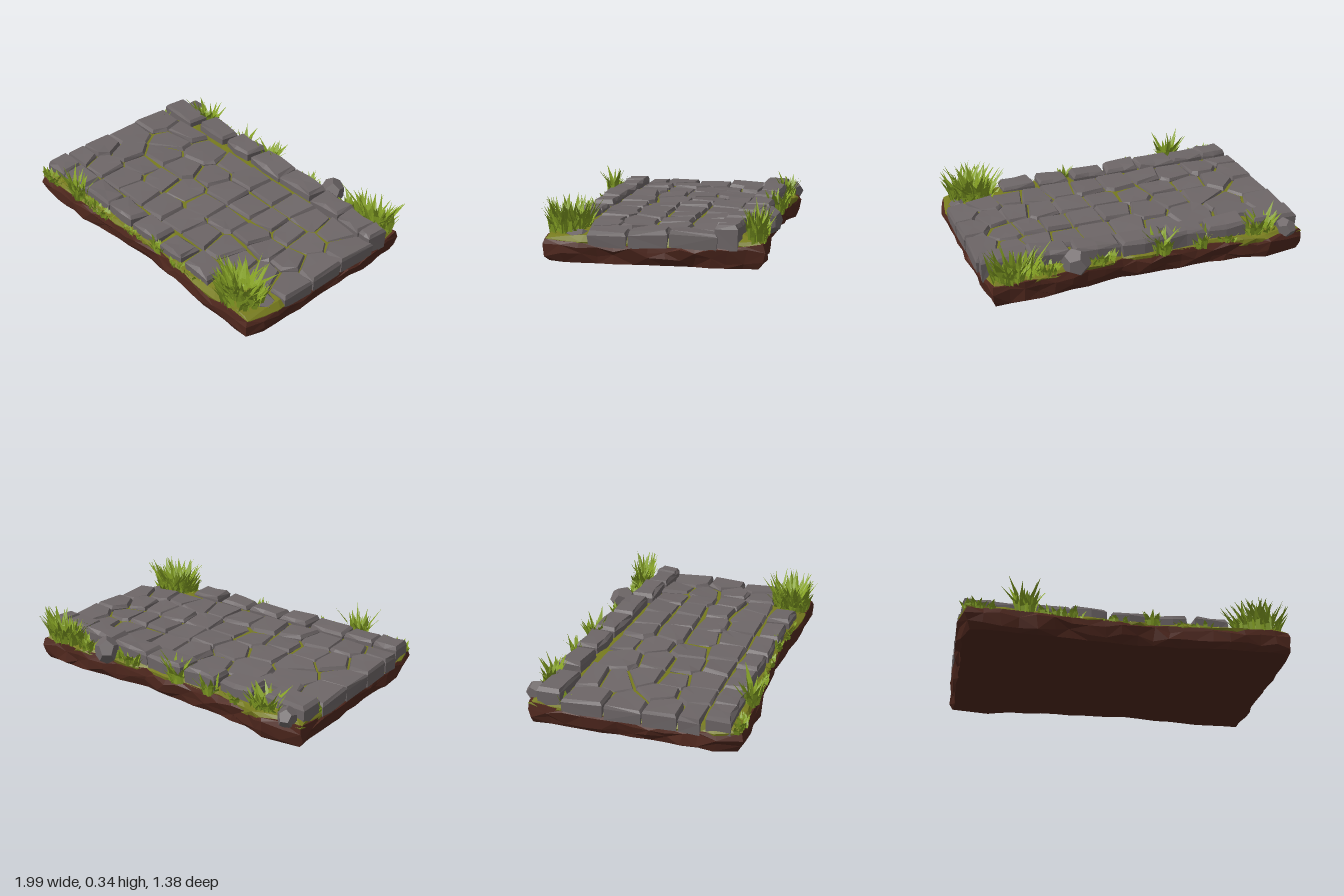
import * as THREE from 'three';

// Small seeded random source
let seed = 11;
const rnd = () => {
  seed = (seed * 16807) % 2147483647;
  return seed / 2147483647;
};
const jit = (a) => (rnd() - 0.5) * 2 * a;

const flat = (name, color, side = THREE.FrontSide) => {
  const m = new THREE.MeshStandardMaterial({ color, flatShading: true, side });
  m.name = name;
  return m;
};

const meshFrom = (name, tris, material) => {
  const g = new THREE.BufferGeometry();
  g.setAttribute('position', new THREE.Float32BufferAttribute(tris, 3));
  g.computeVertexNormals();
  const mesh = new THREE.Mesh(g, material);
  mesh.name = name;
  return mesh;
};

// Closed solid through rings of [x, y, z], listed bottom to top
function loft(rings) {
  const out = [];
  const tri = (...p) => p.forEach((v) => out.push(...v));
  const n = rings[0].length;
  const mid = (r) => [0, 1, 2].map((k) => r.reduce((s, p) => s + p[k], 0) / n);
  const lo = rings[0], hi = rings[rings.length - 1];
  const cLo = mid(lo), cHi = mid(hi);
  for (let j = 0; j < n; j++) {
    const k = (j + 1) % n;
    for (let i = 0; i + 1 < rings.length; i++) {
      const a = rings[i], b = rings[i + 1];
      if ((i + j) % 2) {
        tri(a[j], b[j], a[k]);
        tri(a[k], b[j], b[k]);
      } else {
        tri(a[j], b[j], b[k]);
        tri(a[j], b[k], a[k]);
      }
    }
    tri(cLo, lo[j], lo[k]);
    tri(cHi, hi[k], hi[j]);
  }
  return out;
}

// Worn paving block over a ground polygon of [x, z]
function block(poly, y0, y1, bevel = 0.014) {
  const n = poly.length;
  const cx = poly.reduce((s, p) => s + p[0], 0) / n;
  const cz = poly.reduce((s, p) => s + p[1], 0) / n;
  const tx = jit(0.07), tz = jit(0.07);
  const ring = (inset, y, wob) => poly.map(([x, z]) => {
    const dx = x - cx, dz = z - cz;
    const s = 1 - (inset + jit(wob)) / Math.hypot(dx, dz);
    return [cx + dx * s, y + dx * tx + dz * tz + jit(wob), cz + dz * s];
  });
  return loft([ring(0.004, y0, 0), ring(0, y1 - 0.022, 0.006), ring(bevel, y1, 0.003)]);
}

// Cell of one seed point: the paving field cut halfway towards every neighbour
function cell(s, seeds, field, gap) {
  let poly = field;
  for (const o of seeds) {
    if (o === s) continue;
    const d = Math.hypot(o[0] - s[0], o[1] - s[1]);
    const nx = (o[0] - s[0]) / d, nz = (o[1] - s[1]) / d;
    const f = (p) => (p[0] - s[0]) * nx + (p[1] - s[1]) * nz - d / 2 + gap;
    const next = [];
    poly.forEach((p, i) => {
      const q = poly[(i + 1) % poly.length], a = f(p), b = f(q);
      if (a <= 0) next.push(p);
      if (a * b < 0) next.push([0, 1].map((k) => p[k] + ((q[k] - p[k]) * a) / (a - b)));
    });
    poly = next;
  }
  return poly.filter((p, i) => {
    const q = poly[(i + 1) % poly.length];
    return Math.hypot(p[0] - q[0], p[1] - q[1]) > 0.035;
  });
}

// Tuft of broad, bent, pointed blades fanning out from its middle
function tuft(x, z, rx, rz, h, count) {
  const out = [];
  for (let i = 0; i < count; i++) {
    const a = rnd() * Math.PI * 2, r = Math.sqrt(rnd());
    const bx = x + Math.cos(a) * r * rx * 0.75, bz = z + Math.sin(a) * r * rz * 0.75;
    const len = h * (0.35 + 0.65 * rnd() ** 1.5), lean = len * (0.15 + 0.6 * rnd());
    const dir = a + jit(1.1), face = dir + Math.PI / 2 + jit(0.5);
    const lx = Math.cos(dir) * lean, lz = Math.sin(dir) * lean * 0.7;
    const w = 0.009 + 0.009 * rnd(), wx = Math.cos(face) * w, wz = Math.sin(face) * w;
    const edge = (t, side, k) => [
      Math.max(-0.99, Math.min(0.99, bx + lx * t * t + wx * side * k)),
      0.125 + len * t, bz + lz * t * t + wz * side * k];
    const A = edge(0, -1, 0.8), B = edge(0, 1, 0.8), C = edge(0.5, 1, 1), D = edge(0.5, -1, 1);
    const T = edge(1, 0, 0);
    for (const p of [A, B, C, A, C, D, D, C, T]) out.push(...p);
  }
  return out;
}

export function createModel() {
  seed = 11;
  const root = new THREE.Group();
  root.name = 'cobblestonePath';
  const dirt = flat('dirt brown', 0x50281e);
  const moss = flat('moss olive', 0x777b1e);
  const stone = flat('stone grey', 0x6d6667);
  const grass = flat('grass green', 0x84a024, THREE.DoubleSide);

  // Uneven outline of the slab, resampled to short edges
  const corners = [
    [-0.99, -0.64], [-0.76, -0.68], [-0.6, -0.63], [-0.3, -0.6], [0, -0.61], [0.17, -0.59],
    [0.6, -0.63], [0.97, -0.64], [0.995, -0.35], [0.99, 0], [0.995, 0.5], [0.96, 0.62], [0.6, 0.615],
    [0.4, 0.6], [0.15, 0.58], [-0.25, 0.6], [-0.55, 0.63], [-0.96, 0.64], [-0.995, 0.5],
    [-0.99, 0.1], [-0.995, -0.3]];
  const outline = [];
  corners.forEach((p, i) => {
    const q = corners[(i + 1) % corners.length];
    const n = Math.max(1, Math.round(Math.hypot(q[0] - p[0], q[1] - p[1]) / 0.1));
    for (let k = 0; k < n; k++) outline.push([0, 1].map((c) => p[c] + ((q[c] - p[c]) * k) / n));
  });
  const slabRing = (inset, y, wob, wobY, rise = 0) => outline.map(([x, z]) => [
    x * (1 - inset) + jit(wob), y + rise * (z / 0.6) ** 2 + jit(wobY), z * (1 - inset * 1.6) + jit(wob)]);
  root.add(meshFrom('dirtSlab', loft([
    slabRing(0.035, 0, 0.01, 0), slabRing(0.014, 0.04, 0.014, 0.02),
    slabRing(0.006, 0.085, 0.008, 0.018, 0.012), slabRing(0.016, 0.108, 0.008, 0.006, 0.022)]), dirt));

  // Moss bed that shows in the joints and along both long edges
  root.add(meshFrom('mossBed', loft([
    slabRing(0.022, 0.09, 0.008, 0), slabRing(0.017, 0.118, 0.012, 0.01, 0.014),
    slabRing(0.04, 0.15, 0.01, 0.008), slabRing(0.17, 0.174, 0.004, 0.004)]), moss));

  // Paving stones: seed points by column, x then z
  const seeds = [
    [-0.9, -0.29], [-0.9, -0.05], [-0.9, 0.17], [-0.9, 0.37],
    [-0.67, -0.36], [-0.66, -0.21], [-0.74, 0.09], [-0.57, -0.06], [-0.57, 0.11], [-0.72, 0.3], [-0.53, 0.29],
    [-0.39, -0.28], [-0.35, -0.05], [-0.34, 0.12], [-0.32, 0.33],
    [-0.16, -0.35], [-0.16, -0.15], [-0.17, 0.08], [-0.13, 0.3],
    [0.01, -0.3], [0.03, -0.09], [0.04, 0.1], [0.08, 0.3],
    [0.23, -0.3], [0.24, -0.09], [0.25, 0.09], [0.26, 0.32],
    [0.41, -0.3], [0.42, -0.08], [0.45, 0.08], [0.43, 0.28],
    [0.59, -0.27], [0.59, -0.09], [0.61, 0.12], [0.59, 0.32],
    [0.75, -0.3], [0.72, -0.1], [0.77, 0.1], [0.75, 0.29],
    [0.91, -0.24], [0.91, 0.02], [0.91, 0.22]];
  const field = [[-0.99, -0.42], [0.99, -0.38], [0.985, 0.34], [0.62, 0.4], [-0.99, 0.4]];
  const paving = seeds.flatMap((s) => block(cell(s, seeds, field, 0.004), 0.1, 0.195 + jit(0.008)));
  root.add(meshFrom('pavingStones', paving, stone));

  // Kerb stones: centre x, centre z, length; slightly crooked
  const kerb = (name, list, depth, top, slope) => {
    const tris = list.flatMap(([x, z, len]) => {
      const a = slope + jit(0.03), l = len / 2, d = depth / 2;
      const poly = [[-l, -d], [0, -d - 0.005], [l, -d], [l, d], [0, d + 0.005], [-l, d]].map(([u, v]) => {
        const p = u + jit(0.01), q = v + jit(0.008);
        return [x + p * Math.cos(a) - q * Math.sin(a), z + p * Math.sin(a) + q * Math.cos(a)];
      });
      return block(poly, 0.1, top + jit(0.008), 0.018);
    });
    root.add(meshFrom(name, tris, stone));
  };
  kerb('backKerb', [
    [-0.83, -0.5, 0.27], [-0.51, -0.51, 0.25], [-0.25, -0.51, 0.23], [0.03, -0.5, 0.26],
    [0.31, -0.48, 0.27], [0.58, -0.455, 0.23], [0.8, -0.435, 0.2], [0.94, -0.43, 0.09]], 0.14, 0.235, 0.05);
  kerb('frontKerb', [
    [-0.89, 0.495, 0.17], [-0.7, 0.495, 0.19], [-0.47, 0.49, 0.24], [-0.23, 0.49, 0.21],
    [0.01, 0.485, 0.22], [0.25, 0.49, 0.21], [0.49, 0.495, 0.21]], 0.135, 0.212, 0);

  // Loose rocks
  const rock = (x, y, z, r, sy) => {
    const m = new THREE.Mesh(new THREE.DodecahedronGeometry(r), stone);
    m.name = 'looseRock';
    m.position.set(x, y, z);
    m.scale.set(1, sy, 0.85);
    m.rotation.y = x * 5;
    root.add(m);
  };
  rock(0.46, 0.185, -0.595, 0.09, 0.95);
  rock(-0.88, 0.16, -0.61, 0.07, 0.9);
  rock(0.89, 0.13, 0.42, 0.085, 0.6);
  rock(0.7, 0.14, 0.44, 0.07, 0.6);

  // Grass tufts: x, z, spread x, spread z, height, blades
  const tufts = [
    [0.78, 0.49, 0.18, 0.15, 0.22, 260], [-0.61, 0.59, 0.07, 0.05, 0.21, 40],
    [-0.87, 0.605, 0.13, 0.03, 0.07, 50], [-0.4, 0.59, 0.18, 0.03, 0.07, 50],
    [0.14, 0.56, 0.06, 0.03, 0.1, 22], [0.4, 0.575, 0.18, 0.02, 0.05, 24], [-0.1, 0.575, 0.15, 0.02, 0.05, 24],
    [0.82, -0.58, 0.17, 0.06, 0.22, 130], [0.62, -0.58, 0.09, 0.05, 0.13, 40],
    [0.3, -0.575, 0.12, 0.03, 0.1, 40], [-0.08, -0.58, 0.08, 0.05, 0.18, 40],
    [-0.33, -0.59, 0.06, 0.05, 0.15, 24], [-0.72, -0.59, 0.13, 0.04, 0.18, 45],
    [-0.5, -0.59, 0.1, 0.03, 0.07, 24], [-0.95, -0.41, 0.04, 0.03, 0.1, 14]];
  for (const t of tufts) root.add(meshFrom('grassTuft', tuft(...t), grass));

  return root;
}
